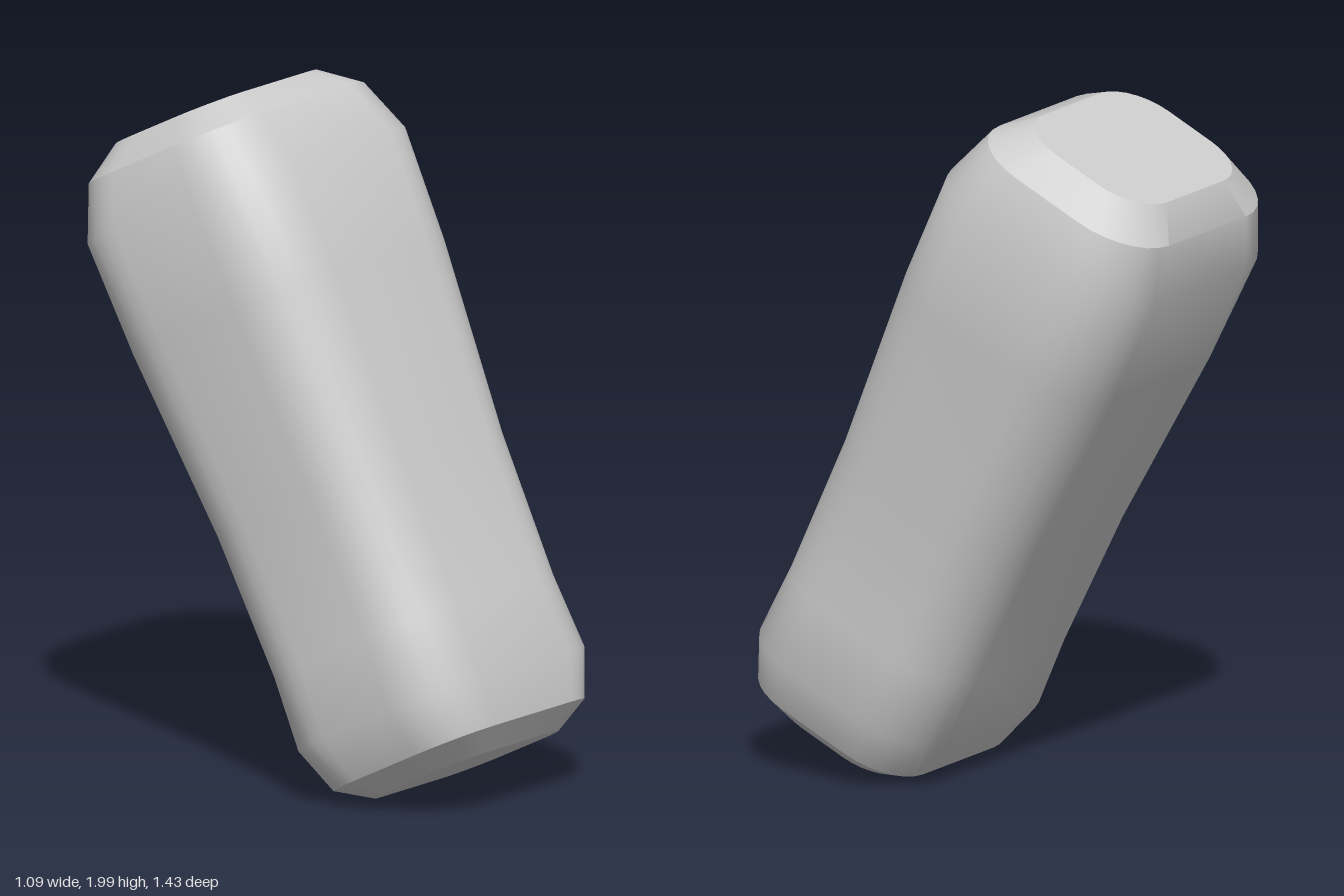
import * as THREE from 'three';
import { toCreasedNormals } from 'three/addons/utils/BufferGeometryUtils.js';

const CORNER_STEPS = 7;

// Rounded rectangle outline, counter-clockwise seen from above.
function outline(y, w, d, r) {
  const points = [];
  for (let q = 0; q < 4; q++) {
    const sx = q === 0 || q === 3 ? 1 : -1;
    const sz = q < 2 ? -1 : 1;
    for (let i = 0; i <= CORNER_STEPS; i++) {
      const a = (q + i / CORNER_STEPS) * Math.PI / 2;
      points.push([sx * (w - r) + r * Math.cos(a), y, sz * (d - r) - r * Math.sin(a)]);
    }
  }
  return points;
}

// Skin the outlines from top to bottom and close both ends.
function loft(sections) {
  const rings = sections.map((s) => outline(...s));
  const n = rings[0].length;
  const last = rings.length - 1;
  const positions = rings.flat(2);
  const index = [];
  const top = rings.length * n;
  const bottom = top + 1;
  positions.push(0, sections[0][0], 0, 0, sections[last][0], 0);
  for (let k = 0; k < n; k++) {
    const k1 = (k + 1) % n;
    for (let j = 0; j < last; j++) {
      const a = j * n + k, b = j * n + k1, c = a + n, d = b + n;
      index.push(a, c, d, a, d, b);
    }
    index.push(top, k, k1, bottom, last * n + k1, last * n + k);
  }
  const geometry = new THREE.BufferGeometry();
  geometry.setAttribute('position', new THREE.Float32BufferAttribute(positions, 3));
  geometry.setIndex(index);
  return toCreasedNormals(geometry, THREE.MathUtils.degToRad(30));
}

export function createModel() {
  const group = new THREE.Group();
  group.name = 'leaningBlock';

  const grey = new THREE.MeshStandardMaterial({ color: 0xcccccc });
  grey.name = 'light grey';

  // Height along the axis, half width, half depth, corner radius
  const sections = [
    [1.0, 0.30, 0.23, 0.15],
    [0.92, 0.404, 0.316, 0.2],
    [0.76, 0.457, 0.366, 0.22],
    [0.42, 0.444, 0.364, 0.22],
    [-0.15, 0.407, 0.331, 0.2],
    [-0.58, 0.40, 0.326, 0.2],
    [-0.80, 0.416, 0.327, 0.2],
    [-0.94, 0.359, 0.289, 0.17],
    [-1.0, 0.271, 0.209, 0.13],
  ];

  // Waisted body with bevelled ends, leaning backwards
  const body = new THREE.Mesh(loft(sections), grey);
  body.name = 'body';
  body.rotation.order = 'YXZ';
  body.rotation.set(THREE.MathUtils.degToRad(-25.9), THREE.MathUtils.degToRad(14.9), 0);
  body.position.set(0.015, 1, 0.012);
  group.add(body);

  return group;
}
